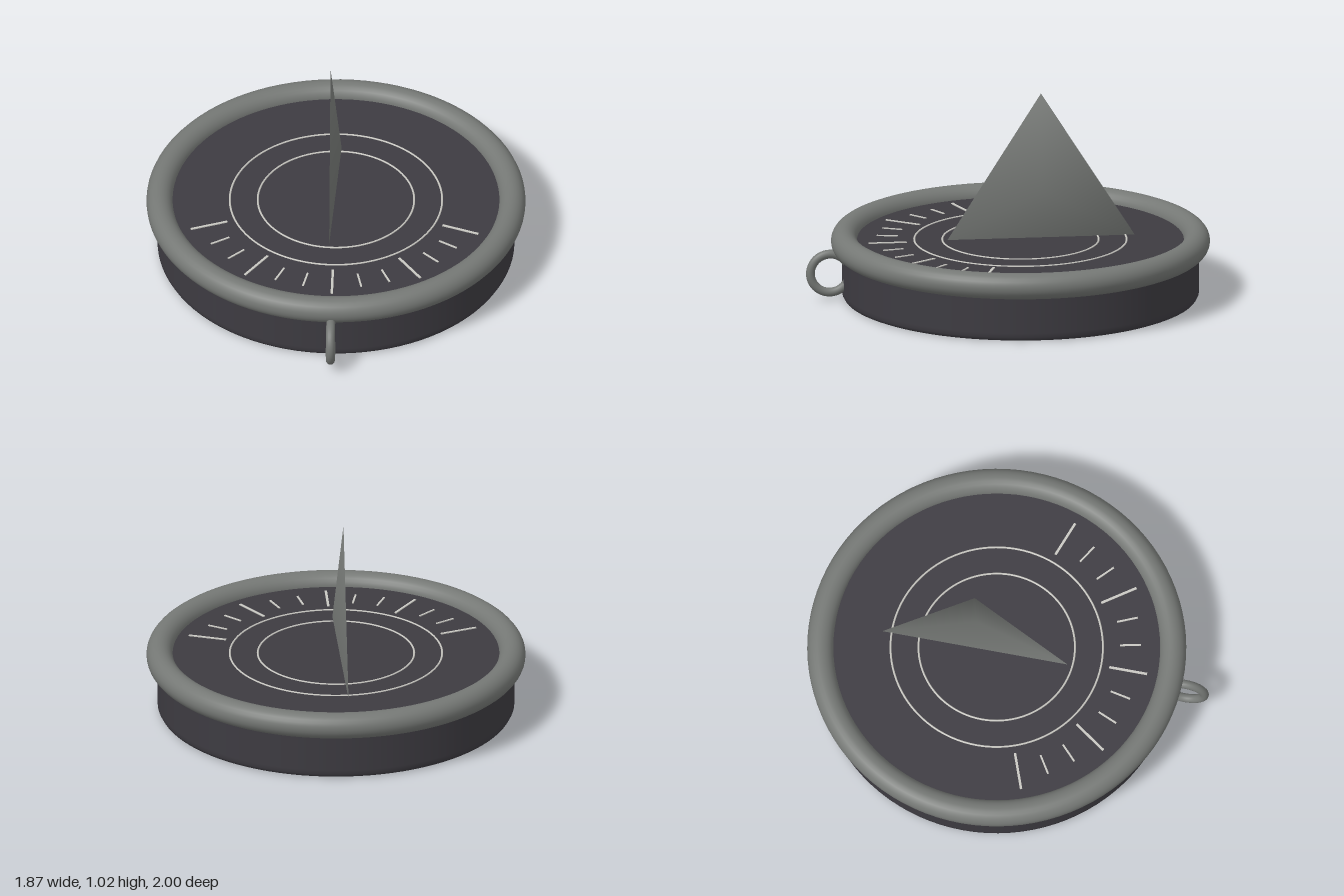
import * as THREE from 'three';

const CENTRE_Z = -0.065; // middle of the round dial
const DIAL_Y = 0.287; // height of the dial face

export function createModel() {
  const model = new THREE.Group();
  model.name = 'sundial';

  const stone = new THREE.MeshStandardMaterial({ color: 0x3d3b41 });
  stone.name = 'dark stone';
  const metal = new THREE.MeshStandardMaterial({ color: 0x757875, side: THREE.DoubleSide });
  metal.name = 'grey metal';
  const inlay = new THREE.MeshStandardMaterial({ color: 0xc9c8c2 });
  inlay.name = 'pale inlay';

  const add = (name, geometry, material, parent = model) => {
    const mesh = new THREE.Mesh(geometry, material);
    mesh.name = name;
    parent.add(mesh);
    return mesh;
  };

  const dial = new THREE.Group();
  dial.name = 'dial';
  dial.position.z = CENTRE_Z;
  model.add(dial);

  // Round base: separate lathes keep the face and underside crisp
  const lathe = (points) => new THREE.LatheGeometry(points.map(([r, y]) => new THREE.Vector2(r, y)), 96);
  add('baseUnderside', lathe([[0, 0], [0.86, 0]]), stone, dial);
  add('baseWall', lathe([[0.86, 0], [0.872, 0.005], [0.88, 0.02], [0.88, 0.04], [0.88, DIAL_Y]]), stone, dial);
  add('dialFace', lathe([[0.88, DIAL_Y], [0, DIAL_Y]]), stone, dial);

  // Thick rounded rim
  const rim = add('rim', new THREE.TorusGeometry(0.87, 0.065, 24, 96), metal, dial);
  rim.rotation.x = Math.PI / 2;
  rim.position.y = 0.28;

  // Two engraved circles
  for (const radius of [0.386, 0.524]) {
    const circle = add('dialCircle', new THREE.TorusGeometry(radius, 0.005, 6, 96), inlay, dial);
    circle.rotation.x = Math.PI / 2;
    circle.position.y = DIAL_Y;
  }

  // Hour marks: every third is long
  for (let i = -6; i <= 6; i++) {
    const long = i % 3 === 0;
    const angle = THREE.MathUtils.degToRad((i * 70) / 6);
    const mark = add('hourMark', new THREE.BoxGeometry(long ? 0.012 : 0.009, 0.009, long ? 0.19 : 0.104), inlay, dial);
    mark.position.set(Math.sin(angle) * 0.66, DIAL_Y, Math.cos(angle) * 0.66);
    mark.rotation.y = angle;
  }

  // Gnomon: thin triangular shell bulging towards +x
  const gnomon = new THREE.BufferGeometry();
  const depth = 5; // bulge used for the soft normals, flattened afterwards
  gnomon.setAttribute('position', new THREE.Float32BufferAttribute([
    -0.03 * depth, 1.02, -0.17,
    -0.024 * depth, 0.287, 0.295,
    -0.024 * depth, 0.287, -0.635,
    0.025 * depth, 0.53, -0.17,
  ], 3));
  gnomon.setIndex([0, 1, 3, 1, 2, 3, 2, 0, 3]);
  gnomon.computeVertexNormals();
  const corners = gnomon.attributes.position;
  for (let i = 0; i < corners.count; i++) corners.setX(i, corners.getX(i) / depth);
  add('gnomon', gnomon, metal);

  // Hanging loop at the front
  const loop = add('hangingLoop', new THREE.TorusGeometry(0.097, 0.022, 16, 48), metal);
  loop.rotation.y = Math.PI / 2;
  loop.position.set(0, 0.143, 0.881);

  return model;
}
